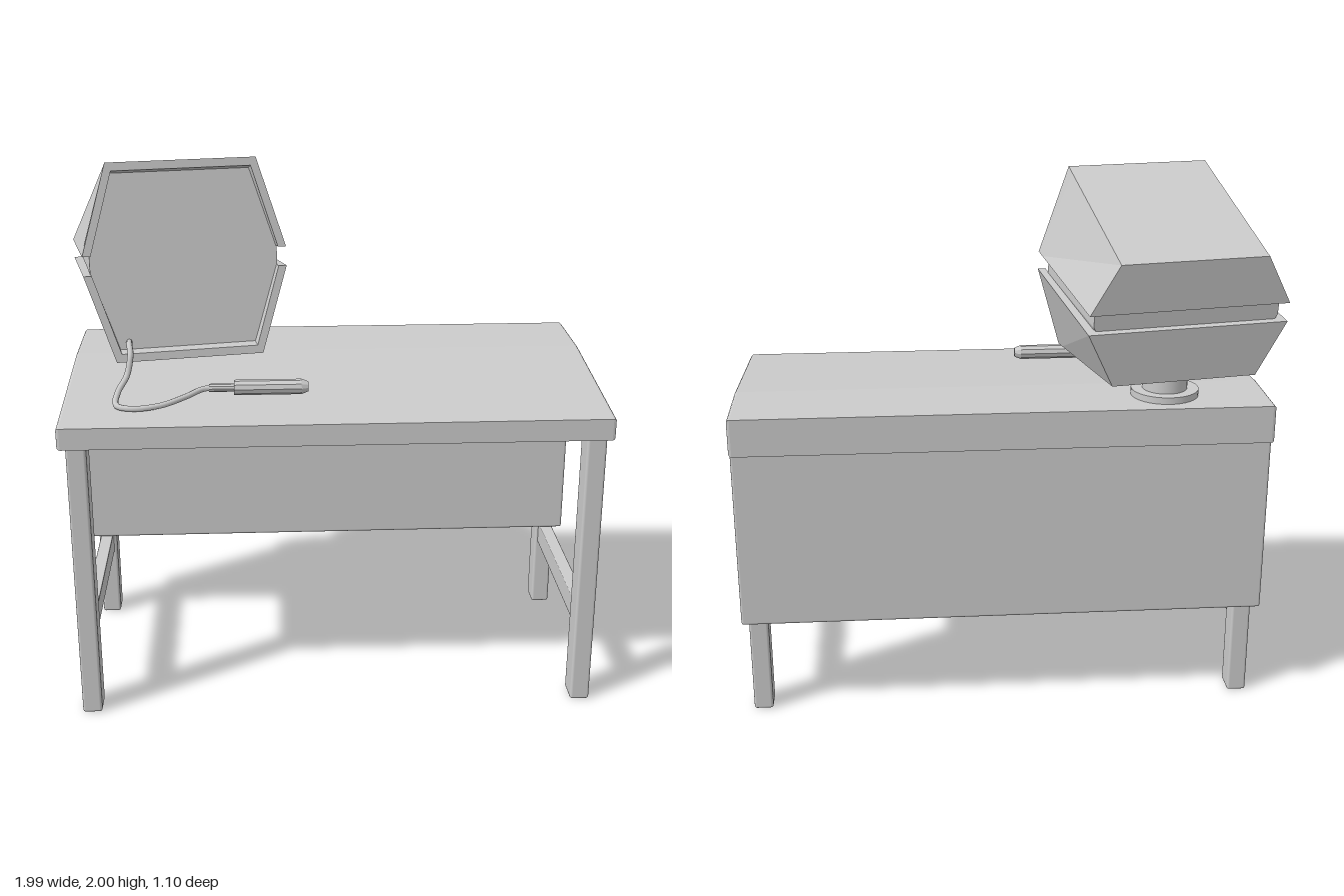
import * as THREE from 'three';
import { RoundedBoxGeometry } from 'three/addons/geometries/RoundedBoxGeometry.js';

const grey = new THREE.MeshStandardMaterial({ color: 0xcccccc });

function add(parent, name, geometry, x = 0, y = 0, z = 0) {
  const mesh = new THREE.Mesh(geometry, grey);
  mesh.name = name;
  mesh.position.set(x, y, z);
  parent.add(mesh);
  return mesh;
}

// Rounded box given by its limits on each axis
function block(parent, name, [x0, x1], [y0, y1], [z0, z1], radius = 0.01) {
  const geometry = new RoundedBoxGeometry(x1 - x0, y1 - y0, z1 - z0, 2, radius);
  return add(parent, name, geometry, (x0 + x1) / 2, (y0 + y1) / 2, (z0 + z1) / 2);
}

const shapeOf = points => new THREE.Shape(points.map(p => new THREE.Vector2(...p)));

const DEPTH = 0.645; // monitor depth
const GAP = 0.035;   // half height of the groove around the monitor

// Extrude a section from zBack to zFront, shrinking its height towards the rear
function taperedPrism(points, zBack, zFront, base, rearScale) {
  const geometry = new THREE.ExtrudeGeometry(shapeOf(points), { depth: zFront - zBack, bevelEnabled: false });
  geometry.translate(0, 0, zBack);
  const pos = geometry.attributes.position;
  for (let i = 0; i < pos.count; i++) {
    const scale = 1 + (rearScale - 1) * (-pos.getZ(i) / DEPTH);
    pos.setY(i, base + (pos.getY(i) - base) * scale);
  }
  geometry.computeVertexNormals();
  return geometry;
}

function createDesk() {
  const desk = new THREE.Group();
  desk.name = 'desk';

  // Worktop with a sloping front, profile drawn as (-z, y)
  const profile = [[-0.55, 1.07], [0.43, 1.07], [0.43, 1.21], [0.12, 1.21], [-0.55, 1.15]];
  const bevel = 0.012;
  const top = new THREE.ExtrudeGeometry(shapeOf(profile), {
    depth: 1.97 - 2 * bevel, bevelThickness: bevel, bevelSize: bevel, bevelOffset: -bevel, bevelSegments: 3,
  });
  top.rotateY(Math.PI / 2);
  add(desk, 'worktop', top, -0.978 + bevel, 0, 0);

  block(desk, 'backPanel', [-0.978, 0.992], [0.38, 1.08], [-0.39, -0.2]);

  // Legs and side rails
  for (const x of [-0.915, 0.932]) {
    const width = [x - 0.036, x + 0.036];
    block(desk, 'frontLeg', width, [0, 1.08], [0.43, 0.53]);
    block(desk, 'backLeg', width, [0, 0.39], [-0.355, -0.26]);
    block(desk, 'sideRail', [x - 0.024, x + 0.024], [0.285, 0.375], [-0.27, 0.44], 0.004);
  }
  return desk;
}

function createMonitor() {
  const monitor = new THREE.Group();
  monitor.name = 'monitor';
  monitor.position.set(-0.525, 1.64, 0.155);
  monitor.rotation.set(THREE.MathUtils.degToRad(-7.5), THREE.MathUtils.degToRad(10), 0, 'YXZ');

  // Upper and lower shells, each with a raised rim around the screen
  const shells = [
    { name: 'upperShell', side: 1, height: 0.363, rearScale: 0.55 },
    { name: 'lowerShell', side: -1, height: 0.355, rearScale: 0.63 },
  ];
  for (const { name, side, height, rearScale } of shells) {
    const outer = [[-0.37, GAP], [-0.27, height], [0.27, height], [0.37, GAP]];
    const inner = [[0.34, GAP], [0.25, height - 0.03], [-0.25, height - 0.03], [-0.34, GAP]];
    const flip = points => points.map(([x, y]) => [x, y * side]);
    add(monitor, name, taperedPrism(flip(outer), -DEPTH, -0.05, GAP * side, rearScale));
    add(monitor, name + 'Rim', taperedPrism(flip([...outer, ...inner]), -0.05, 0, GAP * side, rearScale));
  }

  // Inner core: shows as the screen and inside the groove
  const core = [[-0.343, GAP], [-0.25, 0.333], [0.25, 0.333], [0.343, GAP],
    [0.343, -GAP], [0.25, -0.325], [-0.25, -0.325], [-0.343, -GAP]];
  add(monitor, 'screenCore', taperedPrism(core, -DEPTH + 0.03, -0.045, 0, 0.55));
  return monitor;
}

function createStand() {
  const stand = new THREE.Group();
  stand.name = 'stand';
  add(stand, 'standNeck', new THREE.CylinderGeometry(0.083, 0.083, 0.16, 32), -0.598, 1.28, -0.255);
  add(stand, 'standBase', new THREE.CylinderGeometry(0.125, 0.125, 0.03, 40), -0.598, 1.22, -0.255);
  return stand;
}

function createPen() {
  const pen = new THREE.Group();
  pen.name = 'penOnCable';

  // Cable from the screen down to the worktop
  const path = new THREE.CatmullRomCurve3([
    [-0.742, 1.345, 0.17], [-0.738, 1.35, 0.22], [-0.732, 1.32, 0.262], [-0.745, 1.255, 0.29],
    [-0.775, 1.21, 0.345], [-0.778, 1.18, 0.4], [-0.72, 1.175, 0.426], [-0.62, 1.18, 0.41],
    [-0.53, 1.195, 0.36], [-0.47, 1.207, 0.317], [-0.42, 1.208, 0.31],
  ].map(p => new THREE.Vector3(...p)));
  add(pen, 'cable', new THREE.TubeGeometry(path, 80, 0.011, 8));

  // Pen body turned along x, as radius and distance from the cable end
  const outline = [[0, 0], [0.015, 0], [0.015, 0.09], [0.028, 0.09], [0.028, 0.335], [0.018, 0.36], [0, 0.36]];
  const body = new THREE.LatheGeometry(outline.map(p => new THREE.Vector2(...p)), 10).toNonIndexed();
  body.computeVertexNormals();
  body.rotateZ(-Math.PI / 2);
  add(pen, 'penBody', body, -0.45, 1.208, 0.31);
  return pen;
}

export function createModel() {
  const model = new THREE.Group();
  model.name = 'deskWithMonitor';
  model.add(createDesk(), createMonitor(), createStand(), createPen());
  return model;
}
